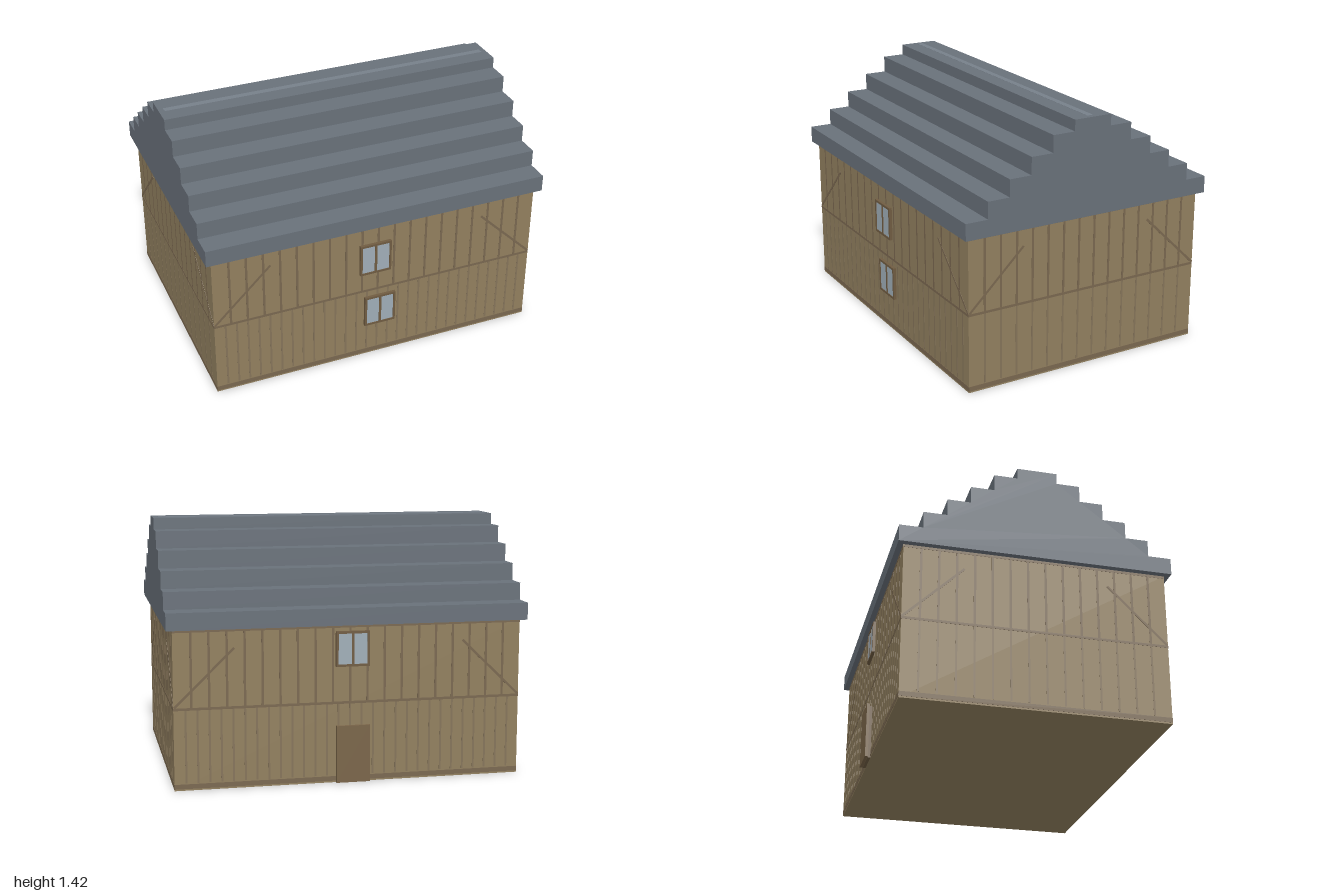
import * as THREE from 'three';

const mat = (color) => new THREE.MeshStandardMaterial({ color });
const plank = mat(0x92805f), batten = mat(0x7a6850), seam = mat(0x85745a);
const frameWood = mat(0x705c42), doorWood = mat(0x7a6549);
const glass = mat(0xa0aeb8), slate = mat(0x69717a), ridge = mat(0x77808a);

// Box given by its centre and size
function box(parent, name, material, [x, y, z], [w, h, d]) {
  const mesh = new THREE.Mesh(new THREE.BoxGeometry(w, h, d), material);
  mesh.name = name;
  mesh.position.set(x, y, z);
  parent.add(mesh);
  return mesh;
}

// Timber pattern on one wall, facing +z before it is turned
function wallTimbers(name, length, distance, angle, lowerCount) {
  const g = new THREE.Group();
  g.name = name;
  const half = length / 2, t = 0.002;
  const upperCount = Math.round(length / 0.0965);
  for (let i = 1; i < upperCount; i++) {
    box(g, 'upperBatten', batten, [-half + (i * length) / upperCount, 0.655, distance], [0.013, 0.41, t]);
  }
  for (let i = 1; i < lowerCount; i++) {
    box(g, 'lowerSeam', seam, [-half + (i * length) / lowerCount, 0.24, distance], [0.011, 0.4, t]);
  }
  box(g, 'sillRail', batten, [0, 0.022, distance], [length, 0.026, t * 1.5]);
  box(g, 'middleRail', batten, [0, 0.446, distance], [length, 0.014, t * 1.5]);
  box(g, 'topRail', batten, [0, 0.867, distance], [length, 0.015, t * 1.5]);
  for (const s of [-1, 1]) {
    const brace = box(g, 'cornerBrace', batten, [s * (half - 0.167), 0.612, distance], [0.455, 0.013, t * 1.5]);
    brace.rotation.z = -s * Math.atan2(0.32, 0.33);
  }
  g.rotation.y = angle;
  return g;
}

// Two-pane window, facing +z, with its back at the origin
function makeWindow(name) {
  const g = new THREE.Group();
  g.name = name;
  const w = 0.187, h = 0.194, b = 0.013, d = 0.017;
  for (const s of [-1, 1]) {
    box(g, 'frameSide', frameWood, [s * (w - b) / 2, 0, d / 2], [b, h, d]);
    box(g, 'frameRail', frameWood, [0, s * (h - b) / 2, d / 2], [w - 2 * b, b, d]);
    box(g, 'pane', glass, [s * 0.043, 0, 0.007], [0.075, h - 2 * b, 0.014]);
  }
  box(g, 'mullion', frameWood, [0, 0, d / 2], [0.014, h - 2 * b, d]);
  return g;
}

export function createModel() {
  const model = new THREE.Group();
  const X = 0.965, Z = 0.725, H = 0.875;

  // Walls
  box(model, 'walls', plank, [0, H / 2, 0], [2 * X, H, 2 * Z]);
  model.add(wallTimbers('frontTimbers', 2 * X, Z, 0, 30));
  model.add(wallTimbers('backTimbers', 2 * X, Z, Math.PI, 30));
  model.add(wallTimbers('leftTimbers', 2 * Z, X, Math.PI / 2, 15));
  model.add(wallTimbers('rightTimbers', 2 * Z, X, -Math.PI / 2, 15));

  // Stepped roof, extruded along x
  const halfWidths = [0.757, 0.628, 0.5, 0.372, 0.242, 0.112];
  const levels = [H, 0.97, 1.066, 1.163, 1.261, 1.357, 1.42];
  const side = [];
  halfWidths.forEach((w, i) => side.push([w, levels[i]], [w, levels[i + 1]]));
  const outline = [...side, ...side.slice().reverse().map(([w, y]) => [-w, y])];
  const roofGeo = new THREE.ExtrudeGeometry(
    new THREE.Shape(outline.map(([w, y]) => new THREE.Vector2(w, y))),
    { depth: 2, bevelEnabled: false }
  );
  roofGeo.translate(0, 0, -1).rotateY(Math.PI / 2);
  const roof = new THREE.Mesh(roofGeo, slate);
  roof.name = 'roof';
  model.add(roof);
  box(model, 'ridgeStrip', ridge, [0, 1.42, 0], [1.94, 0.002, 0.035]);

  // Windows
  const windows = [
    ['frontUpperWindow', -0.02, 0.663, Z, 0],
    ['frontLowerWindow', 0.012, 0.307, Z, 0],
    ['backWindow', -0.012, 0.744, -Z, Math.PI],
  ];
  for (const [name, x, y, z, angle] of windows) {
    const w = makeWindow(name);
    w.position.set(x, y, z);
    w.rotation.y = angle;
    model.add(w);
  }

  // Back door: lining against the wall, leaf in front
  box(model, 'doorLining', frameWood, [-0.012, 0.154, -0.733], [0.175, 0.308, 0.016]);
  box(model, 'doorLeaf', doorWood, [-0.012, 0.163, -0.749], [0.187, 0.318, 0.016]);

  return model;
}
